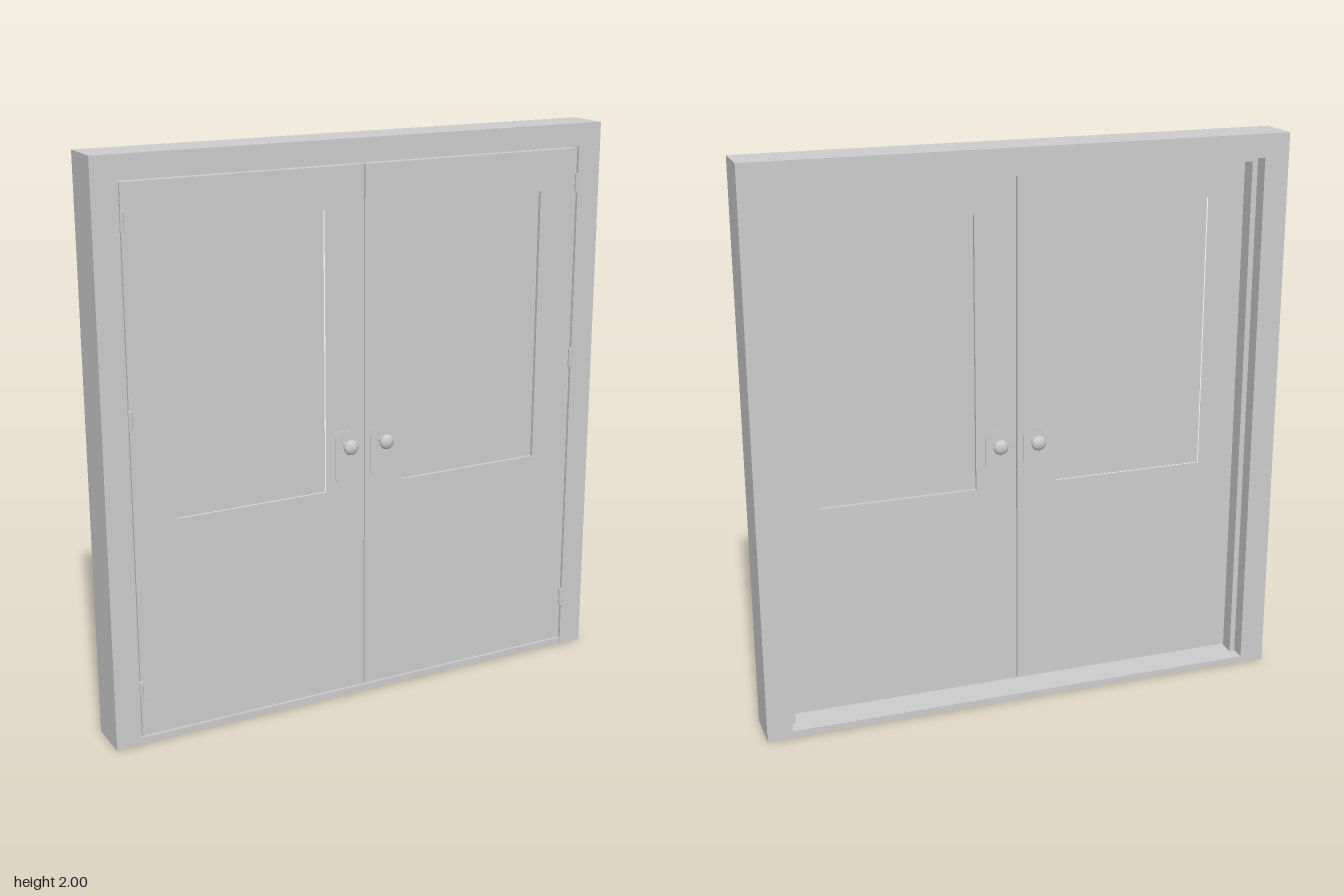
import * as THREE from 'three';

const FRONT = 0.057, BACK = -0.103;          // frame depth
const W = 0.95, H = 2, OPEN = 0.86, TOP = 1.918; // outer and opening sizes
const DOOR_F = 0.053, DOOR_B = 0.01;         // door leaf faces
const STOP_F = 0.006, STOP_B = -0.05, STOP = 0.02;
const mat = new THREE.MeshStandardMaterial({ color: 0xcccccc });

function add(parent, name, geo, x = 0, y = 0, z = 0) {
  const m = new THREE.Mesh(geo, mat);
  m.name = name;
  m.position.set(x, y, z);
  parent.add(m);
  return m;
}

// box given by its limits
function block(parent, name, x0, x1, y0, y1, z0, z1) {
  return add(parent, name, new THREE.BoxGeometry(x1 - x0, y1 - y0, z1 - z0),
    (x0 + x1) / 2, (y0 + y1) / 2, (z0 + z1) / 2);
}

function rect(Type, x0, x1, y0, y1) {
  return new Type([[x0, y0], [x1, y0], [x1, y1], [x0, y1]].map(p => new THREE.Vector2(...p)));
}

// double-rabbet jamb section, shrunk by wall thickness t
function jambSection(Type, s, t) {
  return new Type([
    [W - t, FRONT - t], [OPEN + t, FRONT - t], [OPEN + t, STOP_F - t], [OPEN - STOP + t, STOP_F - t],
    [OPEN - STOP + t, STOP_B + t], [OPEN + t, STOP_B + t], [OPEN + t, BACK + t], [W - t, BACK + t],
  ].map(([x, z]) => new THREE.Vector2(s * x, -z)));
}

// rounded escutcheon plate
function plateGeometry(w, h, r, depth) {
  const s = new THREE.Shape(), x = w / 2, y = h / 2;
  s.moveTo(-x + r, -y).lineTo(x - r, -y).absarc(x - r, -y + r, r, -Math.PI / 2, 0)
    .lineTo(x, y - r).absarc(x - r, y - r, r, 0, Math.PI / 2)
    .lineTo(-x + r, y).absarc(-x + r, y - r, r, Math.PI / 2, Math.PI)
    .lineTo(-x, -y + r).absarc(-x + r, -y + r, r, Math.PI, Math.PI * 1.5);
  return new THREE.ExtrudeGeometry(s, { depth, bevelEnabled: false, curveSegments: 8 });
}

// knob turned around its axis, pointing to +z
function knobGeometry() {
  const pts = [[0.015, 0], [0.015, 0.004], [0.010, 0.006], [0.010, 0.014], [0.018, 0.017], [0.025, 0.023],
    [0.027, 0.030], [0.025, 0.037], [0.018, 0.043], [0.009, 0.046], [0, 0.047]];
  return new THREE.LatheGeometry(pts.map(p => new THREE.Vector2(...p)), 28).rotateX(Math.PI / 2);
}

export function createModel() {
  const model = new THREE.Group();
  model.name = 'doubleDoor';

  // frame: hollow jambs, header, stop and sill
  const frame = new THREE.Group();
  frame.name = 'frame';
  model.add(frame);
  for (const s of [1, -1]) {
    const shape = jambSection(THREE.Shape, s, 0);
    shape.holes.push(jambSection(THREE.Path, s, 0.004));
    const geo = new THREE.ExtrudeGeometry(shape, { depth: TOP, bevelEnabled: false });
    add(frame, s > 0 ? 'leftJamb' : 'rightJamb', geo.rotateX(-Math.PI / 2));
  }
  block(frame, 'header', -W, W, TOP, H, BACK, FRONT);
  block(frame, 'headerStop', -OPEN + STOP, OPEN - STOP, TOP - STOP, TOP, STOP_B, STOP_F);
  block(frame, 'sillTop', -OPEN, OPEN, 0.022, 0.026, BACK, FRONT - 0.002);
  for (const z of [BACK, STOP_B, STOP_F, FRONT - 0.006])
    block(frame, 'sillRib', -OPEN, OPEN, 0.002, 0.022, z, z + 0.004);

  // two mirrored door leaves
  for (const s of [1, -1]) {
    const door = new THREE.Group();
    door.name = s > 0 ? 'leftDoor' : 'rightDoor';
    model.add(door);

    const leaf = rect(THREE.Shape, s * 0.002, s * (OPEN - 0.005), 0.03, TOP - 0.005);
    leaf.holes.push(rect(THREE.Path, s * 0.15, s * 0.705, 0.79, 1.77));
    add(door, 'leaf', new THREE.ExtrudeGeometry(leaf, { depth: DOOR_F - DOOR_B, bevelEnabled: false }), 0, 0, DOOR_B);
    const pane = block(door, 'windowPane', 0.148, 0.707, 0.788, 1.772, DOOR_B + 0.012, DOOR_F - 0.012);
    pane.position.x *= s;

    // knob and plate on both faces
    for (const [side, z] of [['front', DOOR_F], ['back', DOOR_B]]) {
      const handle = new THREE.Group();
      handle.name = side + 'Handle';
      handle.position.set(s * 0.07, 0.95, z);
      if (side === 'back') handle.rotation.y = Math.PI;
      add(handle, 'plate', plateGeometry(0.09, 0.19, 0.03, 0.003), 0, -0.043, 0);
      add(handle, 'knob', knobGeometry(), 0, 0, 0.003);
      door.add(handle);
    }

    // hinge barrels
    for (const y of [0.2, 1.15, 1.79])
      add(door, 'hinge', new THREE.CylinderGeometry(0.007, 0.007, 0.065, 16), s * 0.854, y, 0.059);
  }
  return model;
}
